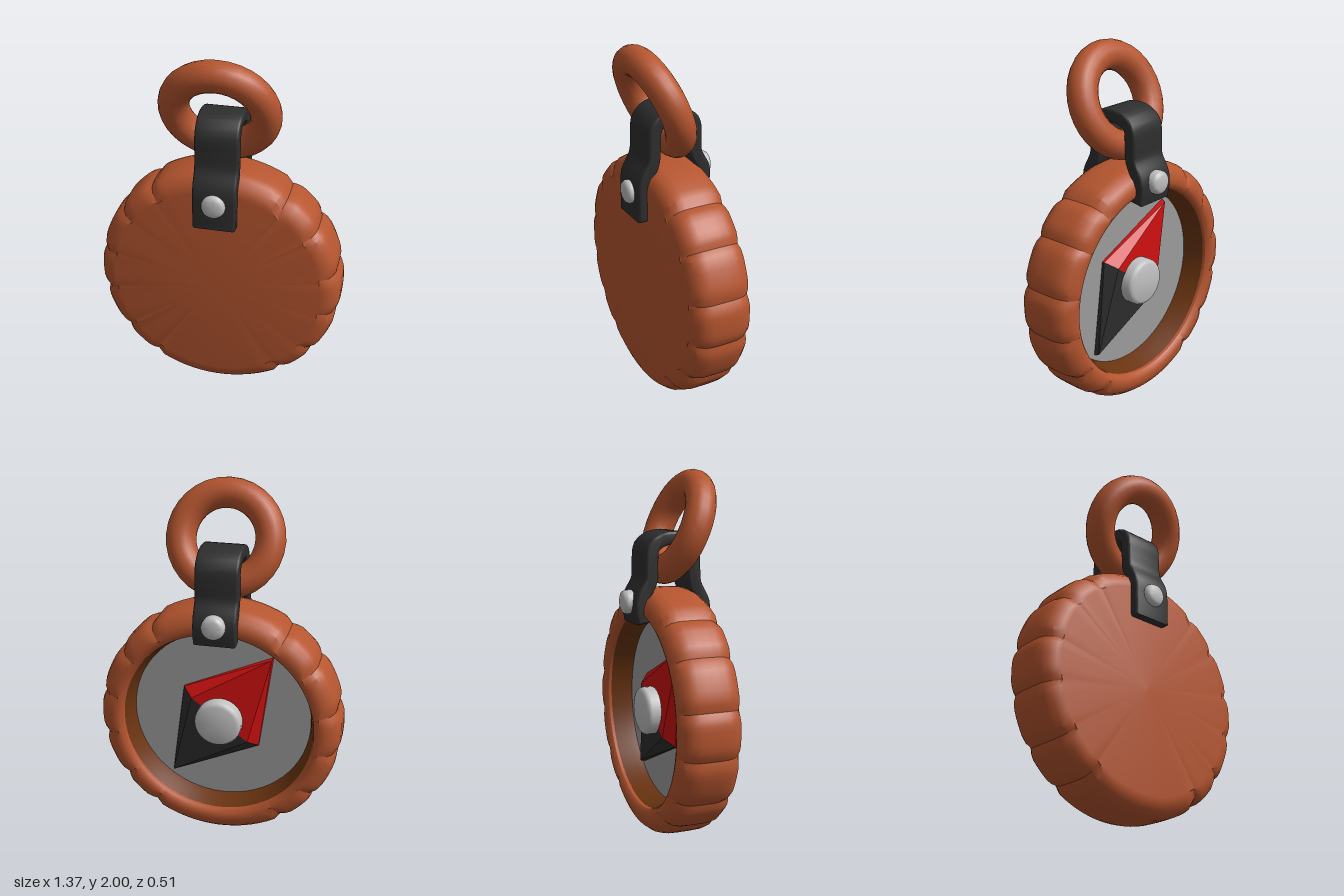
import * as THREE from 'three';
import { toCreasedNormals } from 'three/addons/utils/BufferGeometryUtils.js';
import { ConvexGeometry } from 'three/addons/geometries/ConvexGeometry.js';

const mat = (name, color, side = THREE.FrontSide) => {
  const m = new THREE.MeshStandardMaterial({ color, side });
  m.name = name;
  return m;
};
const V2 = (p) => new THREE.Vector2(p[0], p[1]);
const CY = 0.683; // height of the case centre

export function createModel() {
  const brown = mat('copper brown', 0xb5552f);
  const darkBrown = mat('dark brown', 0x6a3410, THREE.DoubleSide);
  const black = mat('black', 0x2e2e2e);
  const metal = mat('light metal', 0xc0c0c0);
  const grey = mat('dial grey', 0x9c9c9c);
  const red = mat('red', 0xcc1010);

  const model = new THREE.Group();
  model.name = 'pocketCompass';
  const add = (name, geometry, material, parent = model) => {
    const mesh = new THREE.Mesh(geometry, material);
    mesh.name = name;
    parent.add(mesh);
    return mesh;
  };

  // Case: lathed sectors whose rims dip at the grooves between them
  const body = new THREE.Group();
  body.name = 'case';
  body.position.y = CY;
  model.add(body);
  const profile = [
    [0.535, -0.125], [0.54, -0.15], [0.555, -0.166], [0.575, -0.172], [0.605, -0.17],
    [0.645, -0.152], [0.67, -0.12], [0.681, -0.08], [0.683, -0.03], [0.683, 0.03],
    [0.681, 0.08], [0.67, 0.12], [0.645, 0.152], [0.605, 0.17], [0.58, 0.173], [0, 0.173],
  ].map(V2);
  const grooves = [-56, -35.5, -11, 11, 35.5, 56, 124, 144.5, 169, 191, 215.5, 236, 304];
  for (let i = 0; i < grooves.length - 1; i++) {
    const start = THREE.MathUtils.degToRad(grooves[i] + 90);
    const length = THREE.MathUtils.degToRad(grooves[i + 1] - grooves[i]);
    const steps = length > 1 ? 16 : 8;
    const geo = new THREE.LatheGeometry(profile, steps, start, length);
    const pos = geo.attributes.position;
    const dipWidth = 0.07 / length;
    for (let v = 0; v < pos.count; v++) {
      const t = Math.floor(v / profile.length) / steps;
      const edge = Math.max(0, 1 - Math.min(t, 1 - t) / dipWidth);
      const r = Math.hypot(pos.getX(v), pos.getZ(v));
      if (r < 0.6) continue;
      const s = 1 - 0.028 * edge;
      pos.setXYZ(v, pos.getX(v) * s, pos.getY(v) * (1 - 0.03 * edge), pos.getZ(v) * s);
    }
    geo.rotateX(Math.PI / 2);
    add('caseSector', toCreasedNormals(geo, 0.55), brown, body);
  }

  // Recessed dial and its dark surrounding wall
  const wall = new THREE.LatheGeometry([[0.505, -0.005], [0.515, -0.06], [0.537, -0.135]].map(V2), 64);
  add('innerWall', wall.rotateX(Math.PI / 2), darkBrown, body);
  add('dial', new THREE.CircleGeometry(0.51, 64).rotateY(Math.PI), grey, body).position.z = -0.015;

  // Needle: two bevelled halves of a rhombus
  const needle = new THREE.Group();
  needle.name = 'needle';
  needle.rotation.z = THREE.MathUtils.degToRad(127);
  body.add(needle);
  const half = (sign) => new ConvexGeometry([
    [0.48, 0, -0.016], [0.47, 0, -0.045],
    [0, 0.27, -0.016], [0, -0.27, -0.016], [0, 0.27, -0.03], [0, -0.27, -0.03],
    [0, 0.2, -0.085], [0, -0.2, -0.085],
  ].map(([x, y, z]) => new THREE.Vector3(x * sign, y, z)));
  add('needleNorth', half(1), red, needle);
  add('needleSouth', half(-1), black, needle);

  // Round-edged metal button, facing +z from its base at z = 0
  const button = (r, h) => {
    const b = Math.min(0.024, h * 0.5);
    const pts = [[r, 0], [r, h - b], [r - b * 0.12, h - b * 0.62], [r - b * 0.38, h - b * 0.25],
      [r - b, h], [0, h + 0.002]].map(V2);
    return toCreasedNormals(new THREE.LatheGeometry(pts, 28).rotateX(Math.PI / 2), 0.6);
  };
  const hub = add('needleHub', button(0.132, 0.09), metal, body);
  hub.position.z = -0.06;
  hub.rotation.y = Math.PI;

  // Strap: a thick band bent over the ring, extruded across x
  const path = new THREE.SplineCurve([
    [0.184, 1.085], [0.184, 1.19], [0.178, 1.29], [0.13, 1.39], [0.122, 1.48], [0.115, 1.575],
    [0.06, 1.632], [-0.04, 1.634], [-0.11, 1.59], [-0.122, 1.5], [-0.126, 1.41],
    [-0.172, 1.32], [-0.178, 1.26], [-0.168, 1.2],
  ].map(V2));
  const outer = [], inner = [];
  const n = 52, bevel = 0.014, thick = 0.036 - bevel;
  for (let i = 0; i <= n; i++) {
    const p = path.getPointAt(i / n), t = path.getTangentAt(i / n);
    const side = new THREE.Vector2(t.y, -t.x);
    outer.push(p.clone().addScaledVector(side, thick));
    inner.unshift(p.clone().addScaledVector(side, -thick));
  }
  const width = 0.236 - 2 * bevel;
  const strap = new THREE.ExtrudeGeometry(new THREE.Shape([...outer, ...inner]), {
    depth: width, bevelEnabled: true, bevelSize: bevel, bevelThickness: bevel, bevelSegments: 3,
  });
  strap.translate(0, 0, -width / 2).rotateY(-Math.PI / 2);
  add('strap', toCreasedNormals(strap, 0.7), black);

  // Rivets through both strap ends
  add('frontRivet', button(0.065, 0.05), metal).position.set(0, 1.215, 0.202);
  const backRivet = add('backRivet', button(0.065, 0.055), metal);
  backRivet.position.set(0, 1.295, -0.2);
  backRivet.rotation.y = Math.PI;

  // Tilted hanging ring
  const ring = add('hangingRing', new THREE.TorusGeometry(0.243, 0.082, 18, 32), brown);
  ring.position.set(0, 1.692, 0.068);
  ring.rotation.x = 0.38;

  return model;
}
